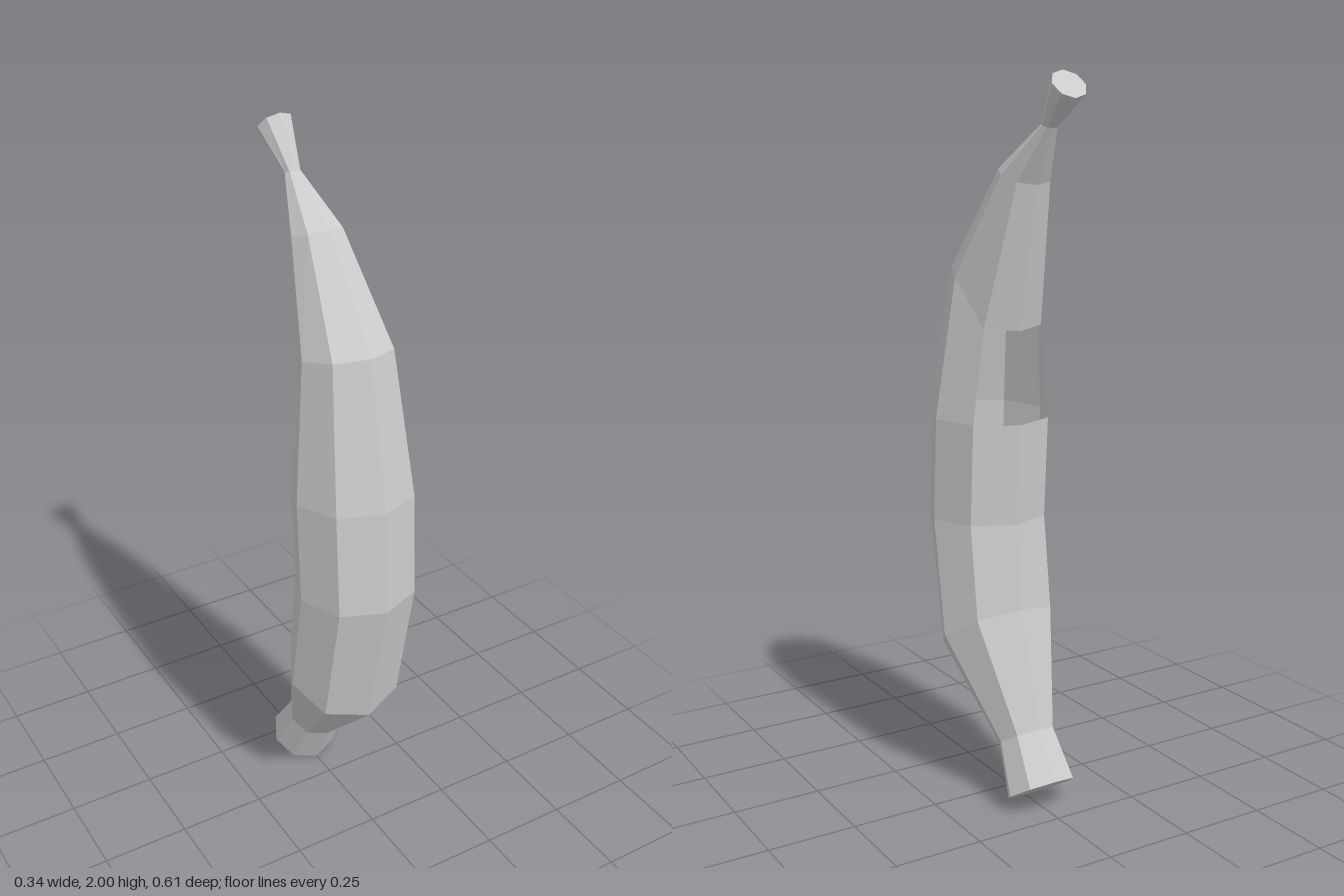
import * as THREE from 'three';

const SIDES = 8;

// Cross-sections from tip to stem: half width, front z, front y, back z, back y, and dip of the back corners
const RINGS = [
  [0.10, -0.08, 0.0, -0.24, 0.105, 0],
  [0.083, -0.015, 0.14, -0.15, 0.225, 0],
  [0.17, 0.22, 0.38, -0.06, 0.55, 0],
  [0.17, 0.303, 0.79, -0.033, 0.79, 0],
  [0.17, 0.285, 1.09, -0.05, 1.073, 0],
  [0.128, 0.203, 1.497, -0.045, 1.445, 0.115],
  [0.072, 0.0, 1.765, -0.132, 1.718, 0],
  [0.022, -0.165, 1.872, -0.205, 1.86, 0],
  [0.05, -0.243, 2.0, -0.303, 1.93, 0],
];

function ringPoint([halfWidth, zFront, yFront, zBack, yBack, dip], i) {
  const a = (i / SIDES) * Math.PI * 2;
  const t = (1 - Math.cos(a)) / 2; // 0 at the front, 1 at the back
  return [
    halfWidth * Math.sin(a),
    THREE.MathUtils.lerp(yFront, yBack, t),
    THREE.MathUtils.lerp(zFront, zBack, t),
  ].map((v, axis) => (axis === 1 && t > 0.6 ? v - dip : v));
}

// Skin the rings first..last, leaving out the sides that isOpen(band, side) marks
function skin(first, last, isOpen = () => false) {
  const positions = [];
  const quad = (a, b, c, d) => positions.push(...a, ...b, ...c, ...a, ...c, ...d);
  for (let r = first; r < last; r++) {
    for (let i = 0; i < SIDES; i++) {
      if (isOpen(r, i)) continue;
      quad(
        ringPoint(RINGS[r], i), ringPoint(RINGS[r], i + 1),
        ringPoint(RINGS[r + 1], i + 1), ringPoint(RINGS[r + 1], i),
      );
    }
  }
  return toGeometry(positions);
}

// Flat octagon closing one end
function cap(ring, facesUp) {
  const positions = [];
  for (let i = 1; i < SIDES - 1; i++) {
    const [b, c] = facesUp ? [i, i + 1] : [i + 1, i];
    positions.push(...ringPoint(ring, 0), ...ringPoint(ring, b), ...ringPoint(ring, c));
  }
  return toGeometry(positions);
}

function toGeometry(positions) {
  const geometry = new THREE.BufferGeometry();
  geometry.setAttribute('position', new THREE.Float32BufferAttribute(positions, 3));
  geometry.computeVertexNormals();
  return geometry;
}

export function createModel() {
  const group = new THREE.Group();
  group.name = 'banana';
  const material = new THREE.MeshStandardMaterial({
    color: 0xcccccc, flatShading: true, side: THREE.DoubleSide,
  });
  const add = (name, geometry) => {
    const mesh = new THREE.Mesh(geometry, material);
    mesh.name = name;
    group.add(mesh);
  };

  // Curved peel, with the two rear panels missing between rings 4 and 5
  add('peel', skin(1, 7, (band, side) => band === 4 && (side === 3 || side === 4)));

  // Flared ends
  add('tip', skin(0, 1));
  add('tipCap', cap(RINGS[0], false));
  add('stem', skin(7, 8));
  add('stemCap', cap(RINGS[8], true));

  return group;
}
